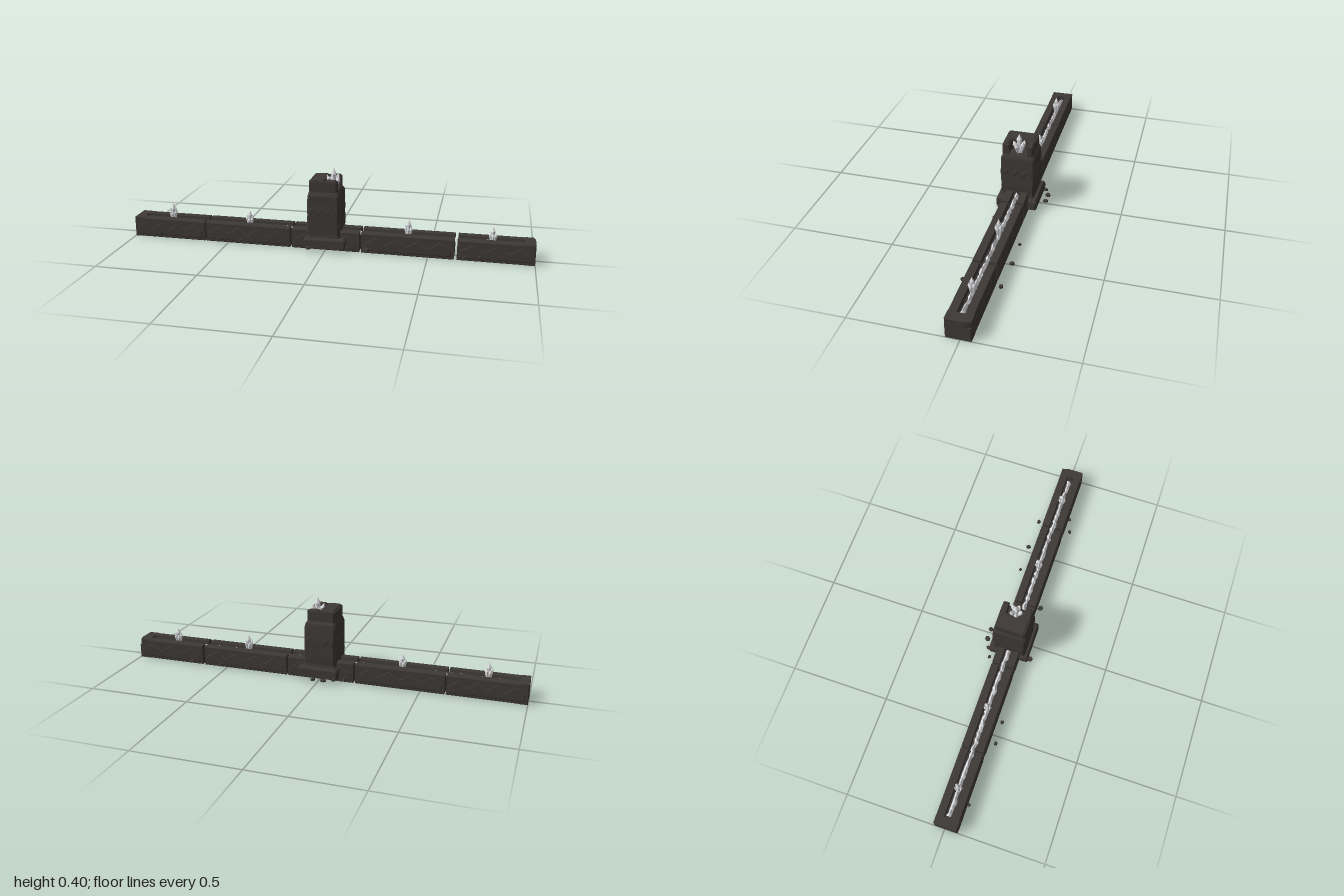
import * as THREE from 'three';

const ZC = 0.008; // centre line of the wall in z

export function createModel() {
  const stone = new THREE.MeshStandardMaterial({ color: 0x3e3937 });
  const crystal = new THREE.MeshStandardMaterial({ color: 0xdcdde0 });
  stone.name = 'darkStone';
  crystal.name = 'paleCrystal';
  const model = new THREE.Group();
  model.name = 'crystalWall';

  let seed = 7;
  const rand = (a, b) => {
    seed = (seed * 16807) % 2147483647;
    return a + (b - a) * (seed / 2147483647);
  };
  const add = (name, geo, mat, parent = model) => {
    const mesh = new THREE.Mesh(geo, mat);
    mesh.name = name;
    parent.add(mesh);
    return mesh;
  };
  const flat = (geo) => {
    const g = geo.index ? geo.toNonIndexed() : geo;
    g.computeVertexNormals();
    return g;
  };
  const toShape = (pts) => new THREE.Shape(pts.map(([x, y]) => new THREE.Vector2(x, y)));
  const extrude = (pts, depth) =>
    new THREE.ExtrudeGeometry(toShape(pts), { depth, bevelEnabled: false });
  // Shallow relief with sloping edges
  const carve = (pts) => new THREE.ExtrudeGeometry(toShape(pts),
    { depth: 0.001, bevelThickness: 0.003, bevelSize: 0.004, bevelOffset: -0.002, bevelSegments: 1 });
  // Plan outline of [x, z] points raised from y0 to y1
  const slab = (pts, y0, y1) =>
    extrude(pts.map(([x, z]) => [x, -z]), y1 - y0).rotateX(-Math.PI / 2).translate(0, y0, 0);
  const meshFrom = (pos, idx) => {
    const g = new THREE.BufferGeometry();
    g.setAttribute('position', new THREE.Float32BufferAttribute(pos, 3));
    g.setIndex(idx);
    return flat(g);
  };

  // Stack of chamfered rectangles [y, x0, x1, z0, z1], slightly uneven
  const loft = (rings, c, wobble) => {
    const pos = [], idx = [], n = 8;
    for (const [y, x0, x1, z0, z1] of rings) {
      const ring = [[x0 + c, z1], [x1 - c, z1], [x1, z1 - c], [x1, z0 + c],
        [x1 - c, z0], [x0 + c, z0], [x0, z0 + c], [x0, z1 - c]];
      for (const [x, z] of ring) {
        pos.push(x + rand(-wobble, wobble), y + rand(-wobble, wobble), z + rand(-wobble, wobble));
      }
    }
    for (let r = 0; r < rings.length - 1; r++) {
      for (let i = 0; i < n; i++) {
        const a = r * n + i, b = r * n + (i + 1) % n;
        idx.push(a, b, b + n, a, b + n, a + n);
      }
    }
    const top = (rings.length - 1) * n;
    for (let i = 1; i < n - 1; i++) idx.push(top, top + i, top + i + 1, 0, i + 1, i);
    return meshFrom(pos, idx);
  };

  // Channelled wall blocks with a zigzag relief on both long sides
  const half = 0.057, lip = 0.019, floor = 0.076;
  const section = [[-half, 0.003], [-half + 0.003, 0], [half - 0.003, 0], [half, 0.003],
    [half, 0.095], [half - 0.004, 0.1], [lip, 0.1], [lip - 0.003, floor],
    [-lip + 0.003, floor], [-lip, 0.1], [-half + 0.004, 0.1], [-half, 0.095]];
  const relief = (length) => {
    const teeth = Math.max(2, Math.round(length / 0.095)), pts = [[-length / 2, 0.014], [length / 2, 0.014]];
    for (let i = teeth * 2; i >= 0; i--) {
      pts.push([(i / (teeth * 2) - 0.5) * length, i % 2 ? 0.08 : 0.046]);
    }
    return carve(pts);
  };
  const blocks = [[-0.955, -0.624], [-0.616, -0.18], [-0.17, 0.167], [0.177, 0.624], [0.638, 0.95]];
  blocks.forEach(([x0, x1], i) => {
    const block = new THREE.Group();
    block.name = 'wallBlock' + (i + 1);
    model.add(block);
    add('channel', extrude(section, x1 - x0).rotateY(Math.PI / 2).translate(x0, 0, ZC), stone, block);
    const a = i === 0 ? -1 : x0, b = i === 4 ? 1 : x1;
    for (const side of [1, -1]) {
      const plate = add('zigzagRelief', relief(b - a - 0.03), stone, block);
      plate.position.set((a + b) / 2, 0, ZC + side * (half - 0.0015));
      if (side < 0) plate.rotation.y = Math.PI;
    }
  });

  // Closed ends, one with a lightly chipped corner
  const zA = ZC - half, zB = ZC + half;
  add('leftEndBase', slab([[0.95, zA], [0.95, zB], [0.997, zB], [1, zB - 0.003], [1, zA + 0.003], [0.997, zA]], 0, 0.068), stone);
  add('leftEndTop', slab([[0.95, zA], [0.95, zB], [0.995, zB], [1, zB - 0.005], [1, zA + 0.03], [0.991, zA]], 0.068, 0.1), stone);
  add('rightEnd', slab([[-0.955, zB], [-0.955, zA], [-0.997, zA], [-1, zA + 0.003], [-1, zB - 0.003], [-0.997, zB]], 0, 0.1), stone);

  // Jagged crystal vein along the channel, interrupted by the pillar
  const vein = (x0, x1) => {
    const pos = [], idx = [], steps = Math.round((x1 - x0) / 0.016);
    for (let i = 0; i <= steps; i++) {
      const x = x0 + (x1 - x0) * i / steps, shift = rand(-0.003, 0.003);
      pos.push(x, floor - 0.002, ZC + shift - rand(0.008, 0.014),
        x + rand(-0.004, 0.004), floor + rand(0.008, 0.018), ZC + shift,
        x, floor - 0.002, ZC + shift + rand(0.008, 0.014));
      if (i < steps) {
        const l = i * 3, t = l + 1, r = l + 2;
        idx.push(l, t, t + 3, l, t + 3, l + 3, r, r + 3, t + 3, r, t + 3, t);
      }
    }
    return meshFrom(pos, idx);
  };
  for (const [x0, x1] of [[-0.945, -0.08], [0.07, 0.94]]) add('crystalVein', vein(x0, x1), crystal);

  // Pillar plinth and body
  add('pillarPlinth', loft([[0.024, -0.1, 0.103, -0.093, 0.109], [0.062, -0.1, 0.103, -0.093, 0.109],
    [0.071, -0.094, 0.095, -0.088, 0.103]], 0.006, 0.002), stone);
  add('pillarBody', loft([
    [0.06, -0.088, 0.079, -0.078, 0.093], [0.085, -0.085, 0.073, -0.073, 0.091],
    [0.13, -0.087, 0.074, -0.076, 0.092], [0.19, -0.085, 0.073, -0.078, 0.093],
    [0.24, -0.085, 0.073, -0.077, 0.093], [0.28, -0.084, 0.07, -0.075, 0.093],
    [0.293, -0.08, 0.066, -0.071, 0.088], [0.304, -0.074, 0.059, -0.062, 0.082]], 0.009, 0.0016), stone);

  // Zigzag band carved round the pillar
  const band = (w) => {
    const up = [], down = [], n = 6;
    for (let i = 0; i <= n; i++) {
      const x = (i / n - 0.5) * w, y = i % 2 ? 0.228 : 0.203;
      down.push([x, y - 0.02]);
      up.unshift([x, y + 0.005]);
    }
    return carve([...down, ...up]);
  };
  [[-0.006, 0.0915, 0, 0.13], [-0.006, -0.0765, Math.PI, 0.13],
    [0.0715, ZC, Math.PI / 2, 0.14], [-0.0835, ZC, -Math.PI / 2, 0.14]].forEach(([x, z, turn, w]) => {
    const m = add('pillarZigzag', band(w), stone);
    m.position.set(x, 0, z);
    m.rotation.y = turn;
  });

  // Crown: back wall with two corner posts, open towards +x
  add('pillarCrown', slab([[-0.076, -0.058], [-0.07, -0.064], [0.054, -0.064], [0.06, -0.058],
    [0.06, -0.036], [0.005, -0.033], [-0.002, -0.026], [-0.002, 0.042], [0.005, 0.05],
    [0.06, 0.053], [0.06, 0.08], [0.054, 0.085], [-0.07, 0.085], [-0.076, 0.078]], 0.3, 0.352), stone);
  add('crownRidge', loft([[0.345, -0.074, 0.0, -0.06, 0.083], [0.358, -0.068, -0.006, -0.054, 0.078]], 0.008, 0.001), stone);
  for (const z of [-0.049, 0.069]) {
    add('crownPostCap', loft([[0.348, 0.0, 0.061, z - 0.015, z + 0.016],
      [0.358, 0.004, 0.05, z - 0.011, z + 0.012]], 0.004, 0.001), stone);
  }

  // Six-sided crystals, narrow at the foot with a high shoulder
  const shard = (r, h) => flat(new THREE.LatheGeometry(
    [[0, 0], [r * 0.6, 0], [r, h * 0.72], [0, h]].map(([x, y]) => new THREE.Vector2(x, y)), 6));
  const cluster = (name, x, y, z, h, r, spread) => {
    const g = new THREE.Group();
    g.name = name;
    g.position.set(x, y, z);
    model.add(g);
    add('mainShard', shard(r, h), crystal, g);
    for (let i = 0; i < 5; i++) {
      const a = Math.PI / 2 + i * Math.PI * 0.4;
      const s = add('sideShard', shard(r * 0.8, h * (i % 2 ? 0.74 : 0.65)), crystal, g);
      s.position.set(Math.cos(a) * r * 0.5, 0, Math.sin(a) * r * 0.5);
      s.rotation.set(Math.sin(a) * spread, 0, -Math.cos(a) * spread);
    }
  };
  [[-0.81, 0.094], [-0.4, 0.084], [0.4, 0.094], [0.8, 0.087]].forEach(([x, h]) =>
    cluster('wallCrystals', x, 0.074, ZC, h, 0.011, 0.15));
  cluster('pillarCrystals', 0.03, 0.298, ZC, 0.106, 0.014, 0.33);

  // Flat rubble along both sides
  [[-0.86, 0.073, 0.009], [-0.54, 0.096, 0.011], [-0.43, 0.092, 0.011], [-0.075, 0.118, 0.016],
    [0.11, 0.092, 0.01], [0.205, 0.083, 0.016], [0.675, 0.095, 0.011], [0.745, 0.072, 0.01],
    [-0.13, -0.08, 0.01], [-0.04, -0.121, 0.016], [0.013, -0.121, 0.014], [-0.085, -0.1, 0.012],
    [0.38, -0.085, 0.008], [0.52, -0.086, 0.013], [0.68, -0.08, 0.012]].forEach(([x, z, r]) => {
    const m = add('rubble', flat(new THREE.CylinderGeometry(r * 0.85, r, 0.009, 6)), stone);
    m.position.set(x, 0.026, z);
    m.rotation.y = rand(0, 3);
    m.scale.z = 0.85;
  });

  return model;
}
